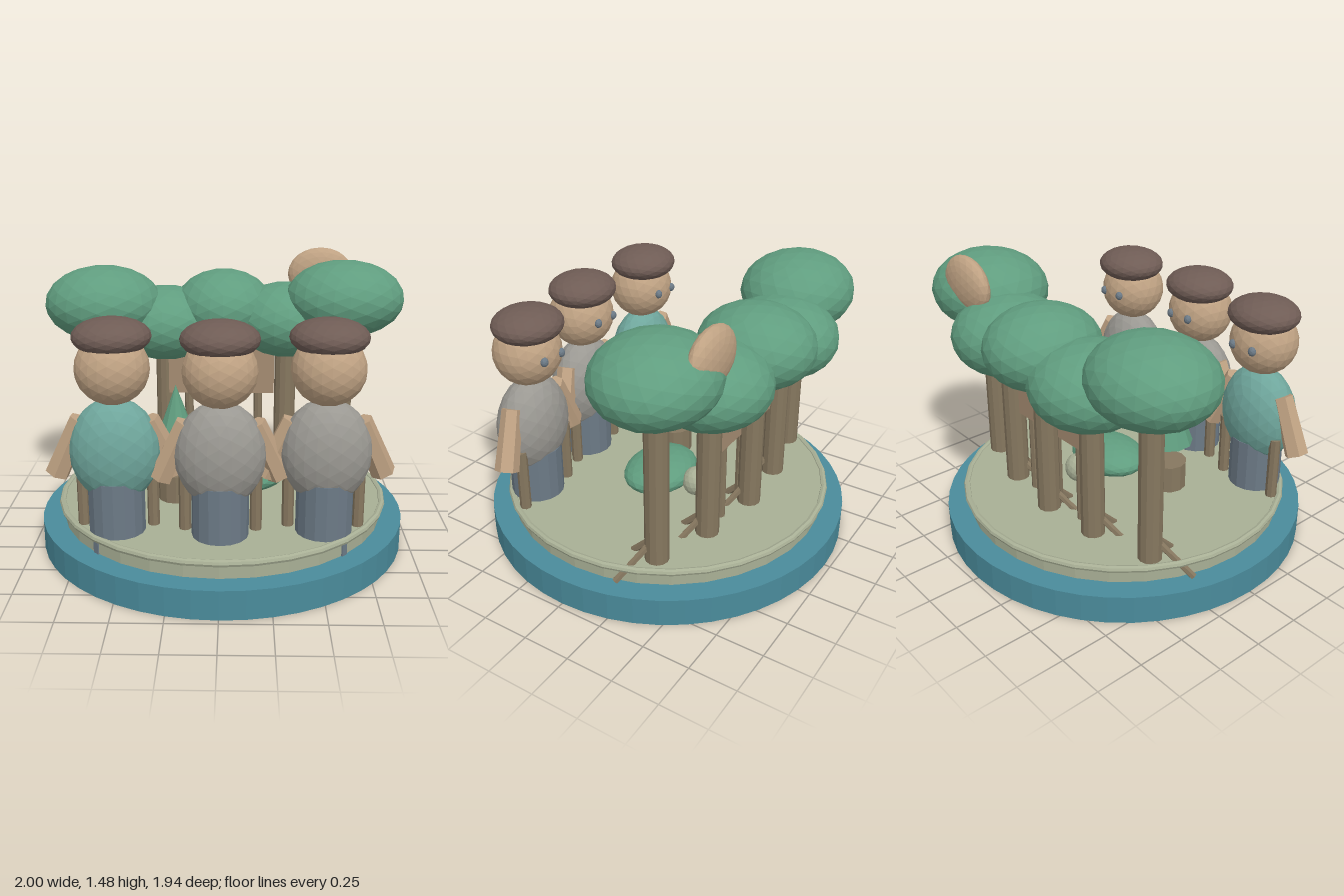
import * as THREE from 'three';

const mat = (name, color) => {
  const m = new THREE.MeshStandardMaterial({ color, flatShading: true });
  m.name = name;
  return m;
};

export function createModel() {
  const M = {
    base: mat('blueBase', 0x4a8b9b), ground: mat('paleGround', 0xa8af95),
    leaf: mat('leafGreen', 0x609d7f), wood: mat('trunkBrown', 0x86775f),
    skin: mat('warmTan', 0xbfa283), cap: mat('capBrown', 0x6f5c55),
    grey: mat('coatGrey', 0x9a9892), teal: mat('coatTeal', 0x6fa69c),
    slate: mat('slateBlue', 0x6c7a86), board: mat('boardTan', 0xa58c72),
  };
  const model = new THREE.Group();
  model.name = 'diorama';

  const add = (parent, name, geo, material, x = 0, y = 0, z = 0) => {
    const m = new THREE.Mesh(geo, material);
    m.name = name;
    m.position.set(x, y, z);
    parent.add(m);
    return m;
  };
  const ball = (parent, name, material, [x, y, z], [rx, ry, rz], detail = 3) =>
    add(parent, name, new THREE.IcosahedronGeometry(1, detail).scale(rx, ry, rz), material, x, y, z);
  // upright cylinder between two heights
  const post = (parent, name, material, x, z, y0, y1, r, sides = 12) =>
    add(parent, name, new THREE.CylinderGeometry(r, r, y1 - y0, sides), material, x, (y0 + y1) / 2, z);
  // tapered cylinder from point a to point b
  const rod = (parent, name, material, a, b, ra, rb, sides = 6) => {
    const A = new THREE.Vector3(...a), B = new THREE.Vector3(...b);
    const d = B.clone().sub(A);
    const m = add(parent, name, new THREE.CylinderGeometry(rb, ra, d.length(), sides), material);
    m.position.copy(A).add(B).multiplyScalar(0.5);
    m.quaternion.setFromUnitVectors(new THREE.Vector3(0, 1, 0), d.normalize());
    return m;
  };

  // round base, island and its rim
  post(model, 'base', M.base, 0, 0, 0, 0.15, 0.97, 48);
  post(model, 'island', M.ground, 0, 0, 0.15, 0.24, 0.855, 32);
  add(model, 'rim', new THREE.TorusGeometry(0.862, 0.018, 8, 32).rotateX(Math.PI / 2), M.ground, 0, 0.232, 0);
  for (const s of [-1, 1]) {
    const plate = add(model, 'sidePlate', new THREE.BoxGeometry(0.035, 0.07, 0.009), M.slate, s * 0.605, 0.185, 0.605);
    plate.rotation.y = s * Math.PI / 4;
  }

  // three people looking towards the trees
  const people = [[-0.51, 0.51, M.teal], [0, 0.56, M.grey], [0.51, 0.51, M.grey]];
  for (const [x, z, coat] of people) {
    const p = new THREE.Group();
    p.name = 'person';
    p.position.set(x, 0, z);
    model.add(p);
    post(p, 'legs', M.slate, 0, 0, 0.24, 0.52, 0.14, 16);
    ball(p, 'body', coat, [0, 0.655, 0], [0.222, 0.265, 0.157]);
    ball(p, 'head', M.skin, [0, 1.065, 0], [0.18, 0.175, 0.175]);
    ball(p, 'cap', M.cap, [0, 1.217, -0.015], [0.19, 0.09, 0.178]);
    for (const s of [-1, 1]) {
      ball(p, 'eye', M.slate, [s * 0.065, 1.07, -0.163], [0.022, 0.025, 0.02], 1);
      const zEnd = s > 0 ? -0.06 : -0.02;
      rod(p, 'arm', M.skin, [s * 0.165, 0.81, -0.015], [s * 0.29, 0.525, zEnd], 0.052, 0.062);
      post(p, 'stick', M.wood, s * 0.175, -0.06, 0.24, 0.58, 0.03, 8);
    }
  }

  // row of trees: x, z, canopy height, canopy half-width
  const trees = [
    [-0.67, -0.405, 1.19, 0.328], [-0.33, -0.482, 1.065, 0.3], [0, -0.51, 1.155, 0.28],
    [0.355, -0.462, 1.09, 0.3], [0.67, -0.365, 1.23, 0.328],
  ];
  for (const [x, z, y, rx] of trees) {
    const t = new THREE.Group();
    t.name = 'tree';
    t.position.set(x, 0, z);
    model.add(t);
    post(t, 'trunk', M.wood, 0, 0, 0.24, y, 0.061);
    ball(t, 'canopy', M.leaf, [0, y, 0], [rx, 0.21, 0.302]);
    for (const deg of [38, 90, 142]) {
      const c = Math.cos(deg * Math.PI / 180), s = Math.sin(deg * Math.PI / 180);
      rod(t, 'root', M.wood, [c * 0.04, 0.33, s * 0.04], [c * 0.215, 0.155, s * 0.215], 0.018, 0.018);
    }
  }
  // flat disc tucked behind the tallest canopy
  ball(model, 'disc', M.skin, [0.55, 1.33, -0.573], [0.185, 0.15, 0.068]);

  // notice board on posts
  add(model, 'board', new THREE.BoxGeometry(0.62, 0.3, 0.05), M.board, -0.02, 0.81, -0.45);
  for (const x of [-0.2, 0, 0.2]) post(model, 'boardPost', M.wood, x, -0.45, 0.24, 0.68, 0.025, 8);

  // bush, stone, stump and the cone above it
  ball(model, 'bush', M.leaf, [0.105, 0.325, -0.022], [0.235, 0.088, 0.182]);
  ball(model, 'stone', M.ground, [0.1, 0.32, -0.24], [0.075, 0.08, 0.07], 2);
  post(model, 'stump', M.wood, -0.24, 0.11, 0.24, 0.388, 0.1);
  add(model, 'coneTop', new THREE.ConeGeometry(0.132, 0.355, 10), M.leaf, -0.24, 0.688, 0.107);

  return model;
}
